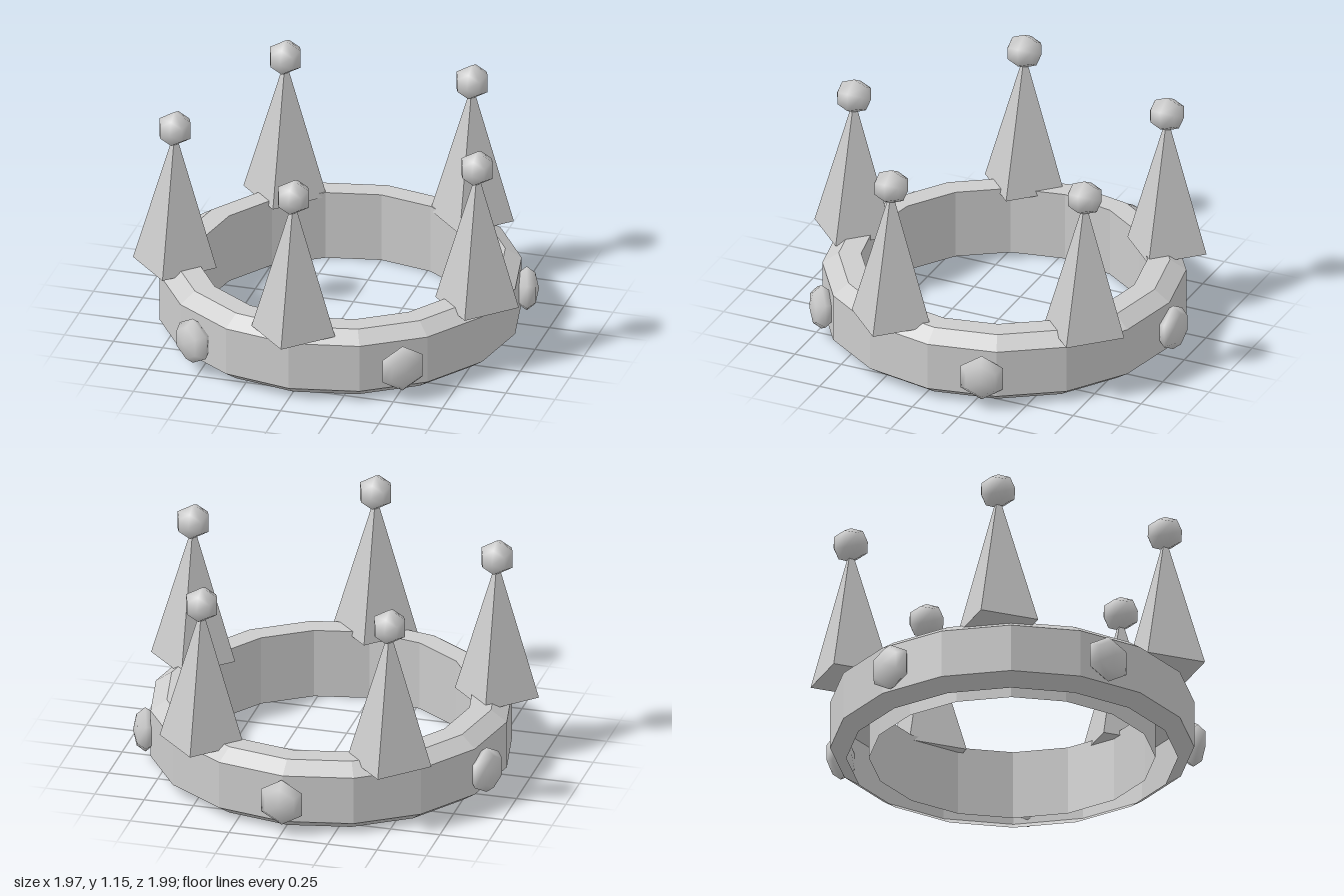
import * as THREE from 'three';

const CENTER_Z = -0.03;

// Gives a geometry hard, faceted edges
function faceted(geometry) {
  const g = geometry.toNonIndexed();
  g.computeVertexNormals();
  return g;
}

// Places an object on a circle around the crown's axis, facing outwards
function onCircle(object, angle, radius, y) {
  object.position.set(Math.sin(angle) * radius, y, CENTER_Z + Math.cos(angle) * radius);
  return object;
}

export function createModel() {
  const crown = new THREE.Group();
  crown.name = 'crown';
  const silver = new THREE.MeshStandardMaterial({ color: 0xcccccc, side: THREE.DoubleSide });
  silver.name = 'lightGrey';

  // Sixteen-sided band with bevelled outer rims, open underneath
  const profile = [
    [0.81, 0], [0.89, 0.055], [0.89, 0.3], [0.81, 0.355], [0.7, 0.355], [0.7, 0],
  ].map(([x, y]) => new THREE.Vector2(x, y));
  const band = new THREE.Mesh(faceted(new THREE.LatheGeometry(profile, 16)), silver);
  band.name = 'band';
  band.position.z = CENTER_Z;
  crown.add(band);

  // Unit bead: six sides around the z axis, a corner pointing up
  const bead = new THREE.SphereGeometry(1, 6, 4).rotateY(Math.PI / 2).rotateX(Math.PI / 2);
  const pyramid = faceted(new THREE.ConeGeometry(0.213, 0.72, 4));

  for (let i = 0; i < 5; i++) {
    const angle = (i * Math.PI * 2) / 5;

    // Four-sided spike with a ball on its tip
    const spike = new THREE.Mesh(pyramid, silver);
    spike.name = 'spike';
    const ball = new THREE.Mesh(bead, silver);
    ball.name = 'spikeBall';
    ball.scale.setScalar(0.091);
    crown.add(onCircle(spike, angle, 0.81, 0.69), onCircle(ball, angle, 0.81, 1.06));

    // Flattened gem on the band, between two spikes
    const gemAngle = angle + Math.PI / 5;
    const gem = new THREE.Mesh(bead, silver);
    gem.name = 'gem';
    gem.scale.set(0.12, 0.12, 0.06);
    gem.rotation.y = gemAngle;
    crown.add(onCircle(gem, gemAngle, 0.91, 0.167));
  }
  return crown;
}
